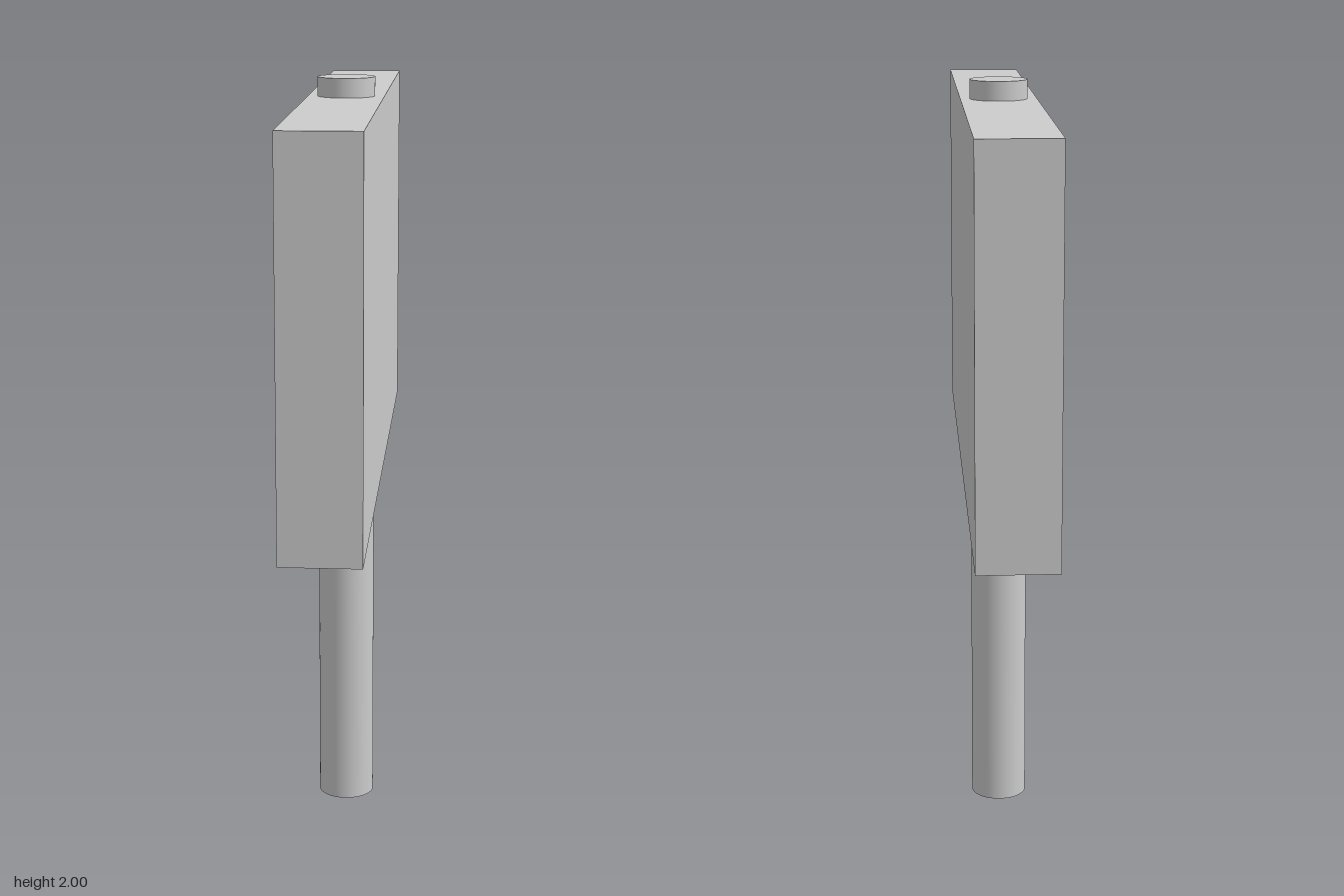
import * as THREE from 'three';

export function createModel() {
  const group = new THREE.Group();
  group.name = 'signpost';

  const grey = new THREE.MeshStandardMaterial({ color: 0xcccccc });
  grey.name = 'light grey';

  // Round post running from the ground through the top of the board
  const post = new THREE.Mesh(new THREE.CylinderGeometry(0.075, 0.075, 2, 64), grey);
  post.name = 'post';
  post.position.y = 1;
  group.add(post);

  // Thick rectangular board, broad faces towards left and right
  const board = new THREE.Mesh(new THREE.BoxGeometry(0.2, 1, 1.8), grey);
  board.name = 'board';
  board.position.y = 1.45;
  group.add(board);

  return group;
}
